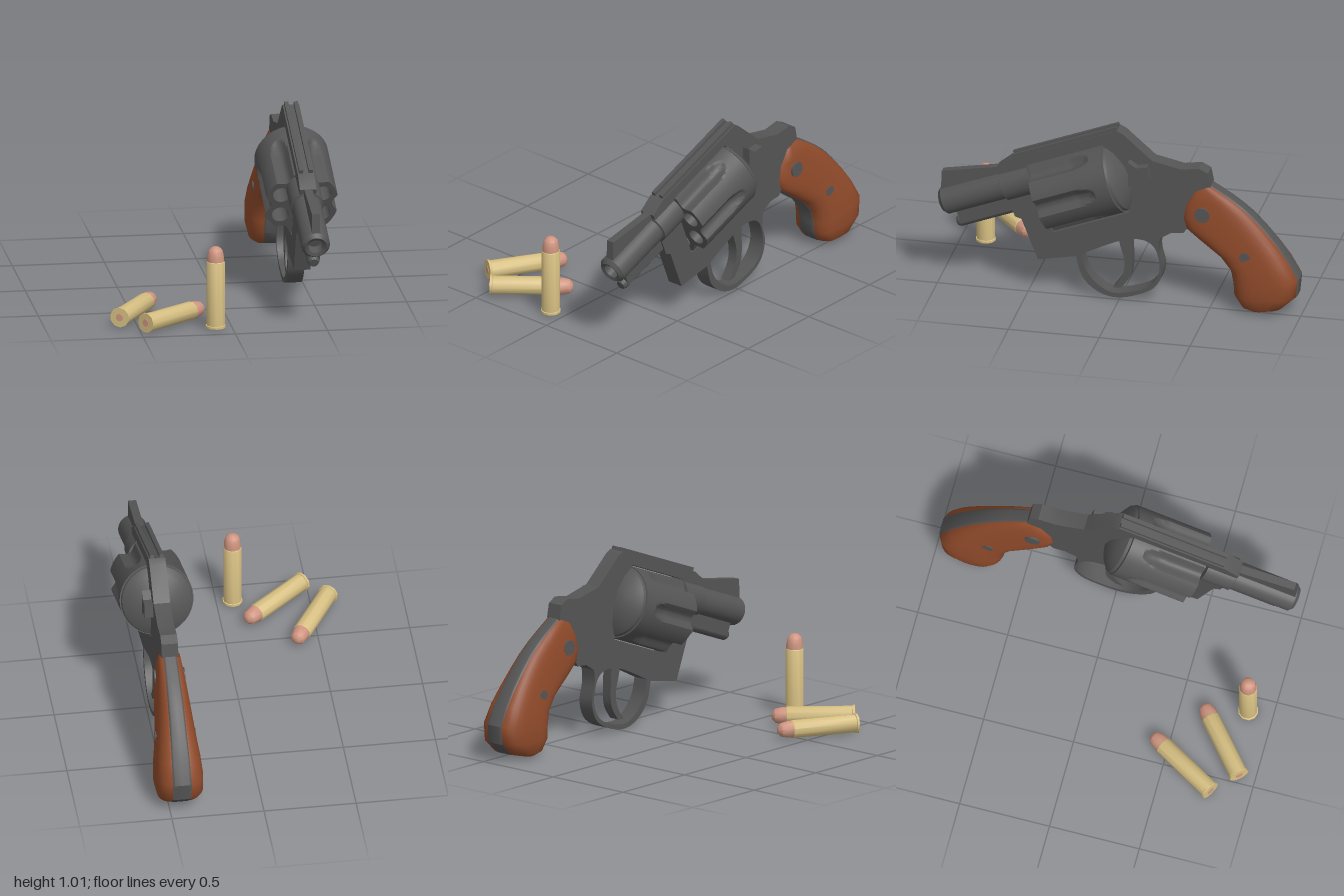
import * as THREE from 'three';
import { toCreasedNormals } from 'three/addons/utils/BufferGeometryUtils.js';

const TILT = 0.366, CZ = 0.229, CY = 0.635, GUN_X = 0.44;
const mat = (name, color) => Object.assign(new THREE.MeshStandardMaterial({ color }), { name });
const steel = mat('steel', 0x555555);
const wood = mat('wood', 0x8f4a2a);
const brass = mat('brass', 0xd6bf82);
const copper = mat('copper', 0xcf9580);

function add(parent, name, geo, material) {
  const m = new THREE.Mesh(geo, material);
  m.name = name;
  parent.add(m);
  return m;
}
const vecs = pts => pts.map(p => new THREE.Vector2(...p));

// Side profile given as [z, y], extruded across x from x0 to x1
function sidePlate(pts, x0, x1, holes = []) {
  const shape = new THREE.Shape(vecs(pts));
  for (const h of holes) shape.holes.push(new THREE.Path(vecs(h)));
  const g = new THREE.ExtrudeGeometry(shape, { depth: x1 - x0, bevelEnabled: false, curveSegments: 8 });
  g.rotateY(-Math.PI / 2).translate(x1, 0, 0);
  return toCreasedNormals(g, 0.5);
}

// Smooth a closed or open run of points
const smooth = (pts, n) => new THREE.SplineCurve(vecs(pts)).getPoints(n).map(p => [p.x, p.y]);

// Lathe along the z axis, profile given as [radius, z]
function latheZ(profile, sides = 32) {
  const g = new THREE.LatheGeometry(vecs(profile), sides).rotateX(Math.PI / 2);
  return toCreasedNormals(g, 0.5);
}

// Point along the tilted barrel axis (s forward, t up) to [z, y]
const toSide = (s, t) => [
  CZ + s * Math.cos(TILT) + t * Math.sin(TILT),
  CY - s * Math.sin(TILT) + t * Math.cos(TILT)];

// Grip cross-sections: front z, y, back z, y, half width
const GRIP = [
  [-0.41, 0.68, -0.50, 0.72, 0.058],
  [-0.355, 0.60, -0.607, 0.655, 0.07],
  [-0.342, 0.52, -0.67, 0.61, 0.08],
  [-0.36, 0.46, -0.73, 0.56, 0.087],
  [-0.44, 0.395, -0.80, 0.485, 0.096],
  [-0.553, 0.31, -0.87, 0.40, 0.107],
  [-0.61, 0.24, -0.93, 0.315, 0.12],
  [-0.627, 0.16, -0.985, 0.215, 0.13],
  [-0.63, 0.10, -0.975, 0.115, 0.13],
  [-0.67, 0.04, -0.90, 0.045, 0.115],
  [-0.72, 0.018, -0.80, 0.018, 0.08]];

// Loft of superellipse rings, closed at both ends
function gripLoft(widthOf, scale, power) {
  const N = 32, pos = [], idx = [];
  const rings = [[...GRIP[0], 0], ...GRIP.map(r => [...r, 1]), [...GRIP[GRIP.length - 1], 0]];
  const bend = v => Math.sign(v) * Math.abs(v) ** (2 / power);
  rings.forEach(([fz, fy, bz, by, w, k], i) => {
    for (let j = 0; j < N; j++) {
      const a = j / N * Math.PI * 2, c = bend(Math.cos(a)) * k * scale / 2, s = bend(Math.sin(a)) * k;
      pos.push(widthOf(w) * s, (fy + by) / 2 + (by - fy) * c, (fz + bz) / 2 + (bz - fz) * c);
      if (i < rings.length - 1) {
        const p = i * N + j, q = i * N + (j + 1) % N;
        idx.push(p, q, p + N, q, q + N, p + N);
      }
    }
  });
  const g = new THREE.BufferGeometry();
  g.setAttribute('position', new THREE.Float32BufferAttribute(pos, 3));
  g.setIndex(idx);
  g.computeVertexNormals();
  return g;
}

// Drum radius: six flutes, fading out toward the rear
const DRUM_R = 0.2;
function drumRadius(angle, z) {
  const step = Math.PI / 3;
  const off = angle - Math.round(angle / step) * step;
  const fade = Math.sqrt(THREE.MathUtils.clamp((z + 0.13) / 0.1, 0, 1));
  return DRUM_R - 0.036 * Math.max(0, fade - (off / 0.25) ** 2);
}

function buildDrum(parent) {
  const drum = new THREE.Group();
  drum.name = 'drum';
  parent.add(drum);
  // Front half with open chambers
  const outline = [];
  for (let i = 0; i < 120; i++) {
    const a = i / 120 * Math.PI * 2, r = drumRadius(a, 0.1);
    outline.push(new THREE.Vector2(r * Math.cos(a), r * Math.sin(a)));
  }
  const shape = new THREE.Shape(outline);
  for (let i = 0; i < 6; i++) {
    const a = (i + 0.5) * Math.PI / 3;
    shape.holes.push(new THREE.Path().absarc(0.13 * Math.cos(a), 0.13 * Math.sin(a), 0.046, 0, Math.PI * 2, true));
  }
  const front = new THREE.ExtrudeGeometry(shape, { depth: 0.2, bevelEnabled: false, curveSegments: 16 });
  add(drum, 'drumFront', toCreasedNormals(front.translate(0, 0, 0.015), 0.4), steel);
  // Rear half where the flutes run out
  const rear = new THREE.CylinderGeometry(DRUM_R, DRUM_R, 0.23, 120, 20).rotateX(Math.PI / 2).translate(0, 0, -0.1);
  const p = rear.attributes.position;
  for (let i = 0; i < p.count; i++) {
    const x = p.getX(i), y = p.getY(i);
    if (Math.hypot(x, y) < 0.01) continue;
    const a = Math.atan2(y, x), r = drumRadius(a, p.getZ(i));
    p.setXY(i, r * Math.cos(a), r * Math.sin(a));
  }
  add(drum, 'drumRear', toCreasedNormals(rear, 0.5), steel);
  // Domed shield behind the drum
  add(drum, 'recoilShield', latheZ([[0, -0.3], [0.07, -0.295], [0.15, -0.265], [0.19, -0.235], [0.195, -0.22], [0, -0.22]]), steel);
}

function buildGun() {
  const gun = new THREE.Group();
  gun.name = 'revolver';
  gun.position.x = GUN_X;

  // Frame with drum window and trigger guard opening
  const guardOuter = smooth([[-0.22, 0.385], [-0.215, 0.31], [-0.237, 0.195], [-0.19, 0.09], [-0.07, 0.03],
    [0.036, 0.013], [0.132, 0.045], [0.207, 0.12], [0.24, 0.235]], 32);
  const outline = [toSide(0.395, 0.23), toSide(0.3, 0.262), toSide(-0.33, 0.262), [-0.02, 0.98], [-0.18, 0.84],
    [-0.34, 0.805], [-0.435, 0.82], [-0.485, 0.795], [-0.5, 0.72], [-0.45, 0.6], [-0.4, 0.5],
    [-0.35, 0.43], [-0.285, 0.425], ...guardOuter, [0.45, 0.195], [0.54, 0.425], toSide(0.395, -0.06)];
  const opening = smooth([[0.21, 0.25], [0.036, 0.335], [-0.07, 0.367], [-0.15, 0.36], [-0.2, 0.31], [-0.22, 0.2],
    [-0.173, 0.105], [-0.07, 0.056], [0.036, 0.04], [0.12, 0.08], [0.186, 0.16], [0.21, 0.25]], 40).slice(0, -1);
  const drumWindow = [[-0.225, -0.206], [0.225, -0.206], [0.225, 0.206], [-0.225, 0.206]].map(c => toSide(...c));
  add(gun, 'frame', sidePlate(outline, -0.045, 0.045, [opening, drumWindow]), steel);

  // Trigger
  const trigger = [...smooth([[0.01, 0.36], [0, 0.31], [-0.023, 0.222], [-0.012, 0.14], [0.04, 0.06]], 12),
    ...smooth([[-0.007, 0.067], [-0.055, 0.14], [-0.066, 0.22], [-0.06, 0.37]], 12)];
  add(gun, 'trigger', sidePlate(trigger, -0.028, 0.028), steel);

  // Thumb latch on the left side
  add(gun, 'thumbLatch', sidePlate([[-0.055, 0.84], [-0.1, 0.81], [-0.157, 0.82], [-0.173, 0.745],
    [-0.115, 0.73], [-0.055, 0.69]], 0.03, 0.092), steel);

  // Front sight ramp
  add(gun, 'frontSight', sidePlate([[0.984, 0.656], [0.68, 0.71], [0.64, 0.62], [0.99, 0.52]], -0.022, 0.022), steel);

  // Parts lying along the barrel axis
  const axis = new THREE.Group();
  axis.name = 'barrelAssembly';
  axis.position.set(0, CY, CZ);
  axis.rotation.x = TILT;
  gun.add(axis);
  buildDrum(axis);
  const barrel = add(axis, 'barrel', latheZ([[0, 0.7], [0.042, 0.7], [0.042, 0.758], [0.06, 0.765], [0.078, 0.745],
    [0.078, 0.4], [0.09, 0.395], [0.09, 0.228], [0, 0.228]].reverse()), steel);
  barrel.position.y = 0.117;
  add(axis, 'underLug', new THREE.BoxGeometry(0.07, 0.09, 0.32).translate(0, 0.02, 0.54), steel);
  add(axis, 'ejectorRod', latheZ([[0, 0.2], [0.032, 0.2], [0.032, 0.71], [0.024, 0.725], [0, 0.725]]), steel).position.y = -0.018;
  for (const side of [-1, 1])
    add(axis, 'sightRail', new THREE.BoxGeometry(0.022, 0.03, 0.62).translate(side * 0.026, 0.267, -0.02), steel);

  // Wooden grip with steel strap and screws
  add(gun, 'grip', gripLoft(w => w, 1, 3), wood);
  add(gun, 'gripStrap', toCreasedNormals(gripLoft(w => 0.02 + w * 0.34, 1.01, 7), 0.6), steel);
  for (const [name, r, sides, len, y, z] of [['gripMedallion', 0.042, 16, 0.168, 0.56, -0.46], ['gripScrew', 0.03, 8, 0.22, 0.345, -0.7]])
    add(gun, name, new THREE.CylinderGeometry(r, r, len, sides).rotateZ(Math.PI / 2).translate(0, y, z), steel);
  return gun;
}

// Cartridge standing on its base at the origin
function buildCartridge(base, tip) {
  const c = new THREE.Group();
  c.name = 'cartridge';
  const lathe = pts => toCreasedNormals(new THREE.LatheGeometry(vecs(pts), 10), 0.7);
  add(c, 'case', lathe([[0, 0], [0.055, 0], [0.055, 0.012], [0.05, 0.014], [0.05, 0.365], [0.046, 0.37], [0, 0.37]]), brass);
  add(c, 'bullet', lathe([[0.047, 0.365], [0.046, 0.395], [0.038, 0.43], [0.02, 0.447], [0, 0.45]]), copper);
  add(c, 'primer', new THREE.CylinderGeometry(0.02, 0.02, 0.008, 10).translate(0, 0.001, 0), copper);
  c.position.set(...base);
  const dir = new THREE.Vector3(...tip).sub(c.position).normalize();
  c.quaternion.setFromUnitVectors(new THREE.Vector3(0, 1, 0), dir);
  return c;
}

export function createModel() {
  const model = new THREE.Group();
  model.name = 'revolverWithCartridges';
  model.add(buildGun());
  model.add(buildCartridge([-0.088, 0.012, 0.862], [-0.088, 0.462, 0.862]));
  model.add(buildCartridge([-0.6, 0.065, 0.79], [-0.375, 0.06, 0.415]));
  model.add(buildCartridge([-0.475, 0.065, 0.915], [-0.145, 0.058, 0.64]));
  return model;
}
